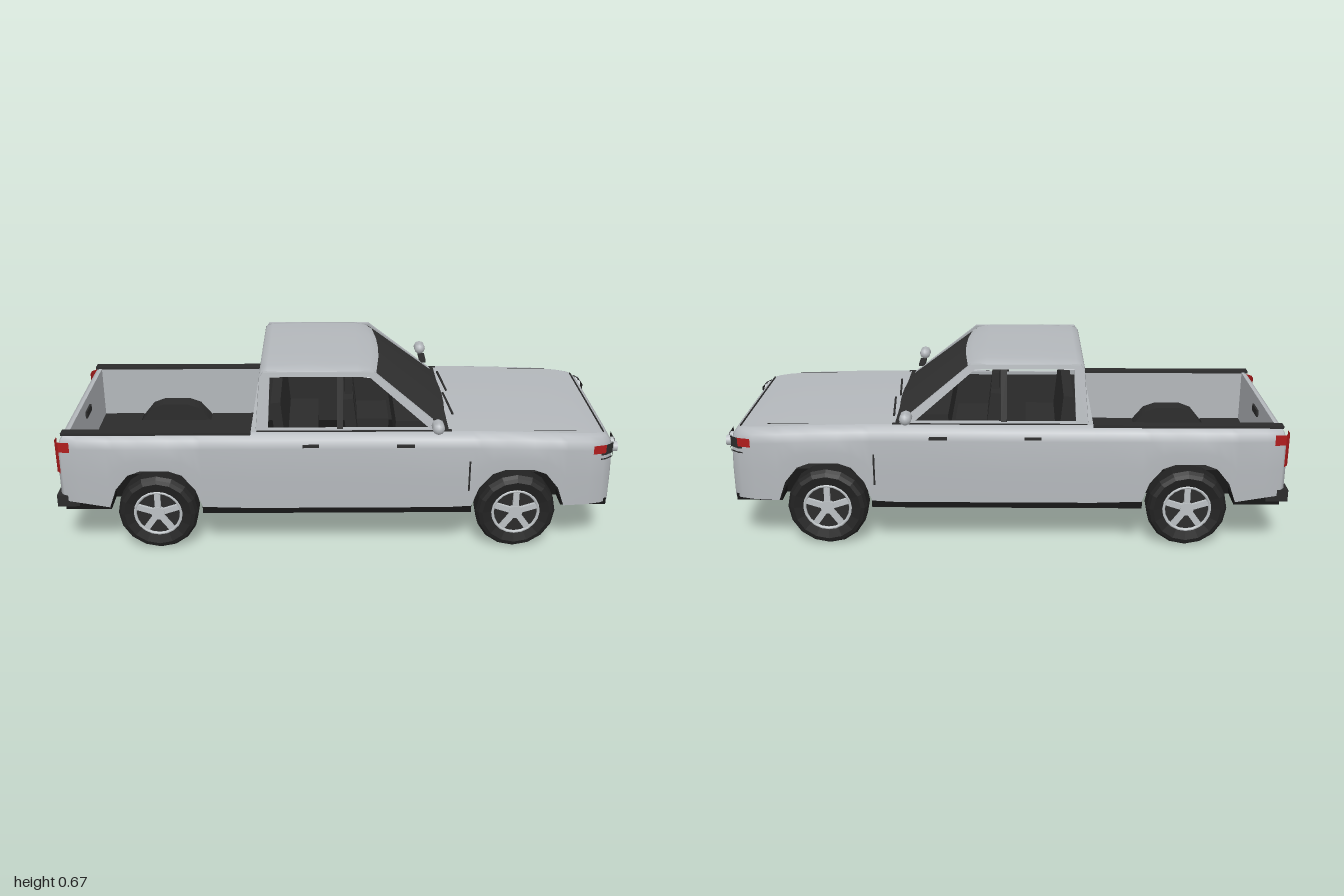
import * as THREE from 'three';

const mat = (name, color) => Object.assign(new THREE.MeshStandardMaterial({ color, side: THREE.DoubleSide }), { name });

export function createModel() {
  const truck = new THREE.Group();
  truck.name = 'pickupTruck';
  const silver = mat('silverPaint', 0xb3b7bb), trim = mat('darkTrim', 0x2b2b2b), glass = mat('darkGlass', 0x303030);
  const black = mat('blackUnderbody', 0x151515), red = mat('redLamp', 0xb01c1c), chrome = mat('paleMetal', 0xbcc1c4);
  const tyreMat = mat('tyreRubber', 0x222222);
  tyreMat.flatShading = true;

  const add = (name, geo, m, parent = truck) => {
    const mesh = new THREE.Mesh(geo, m);
    mesh.name = name;
    parent.add(mesh);
    return mesh;
  };
  // Box given by its minimum and maximum on each axis
  const box = (name, m, x0, x1, y0, y1, z0, z1, parent) => {
    const b = add(name, new THREE.BoxGeometry(x1 - x0, y1 - y0, z1 - z0), m, parent);
    b.position.set((x0 + x1) / 2, (y0 + y1) / 2, (z0 + z1) / 2);
    return b;
  };
  const pair = (name, m, x0, x1, y0, y1, z0, z1) => {
    box(name + 'Left', m, x0, x1, y0, y1, -z1, -z0);
    box(name + 'Right', m, x0, x1, y0, y1, z0, z1);
  };
  // Surface through nu cross-sections of nv points each
  const skin = (nu, nv, fn, closed = false) => {
    const pos = [], idx = [];
    for (let i = 0; i < nu; i++) for (let j = 0; j < nv; j++) pos.push(...fn(i, j));
    for (let i = 0; i < (closed ? nu : nu - 1); i++) for (let j = 0; j < nv - 1; j++) {
      const a = i * nv + j, b = ((i + 1) % nu) * nv + j;
      idx.push(a, b, a + 1, b, b + 1, a + 1);
    }
    const g = new THREE.BufferGeometry();
    g.setAttribute('position', new THREE.Float32BufferAttribute(pos, 3));
    g.setIndex(idx);
    g.computeVertexNormals();
    return g;
  };
  const shapeOf = pts => new THREE.Shape(pts.map(p => new THREE.Vector2(...p)));

  // Body outline in plan [x, z, bottom y], with the wheel openings cut into the lower edge
  const axles = [-0.635, 0.65];
  const arch = [[-0.165, 0.18], [-0.14, 0.25], [-0.095, 0.305], [-0.05, 0.322],
    [0.05, 0.322], [0.095, 0.305], [0.14, 0.25], [0.165, 0.18]];
  const archAt = cx => arch.map(([dx, y]) => [cx + dx, 0.36, y]);
  const half = [[-0.975, 0, 0.2], [-0.975, 0.25, 0.2], [-0.974, 0.33, 0.2], [-0.96, 0.345, 0.2], [-0.9, 0.355, 0.195],
    ...archAt(axles[0]), [-0.3, 0.36, 0.175], [0, 0.36, 0.175], [0.4, 0.36, 0.175], ...archAt(axles[1]),
    [0.9, 0.352, 0.18], [0.95, 0.338, 0.18], [0.978, 0.315, 0.175], [0.988, 0.29, 0.172], [0.99, 0.2, 0.172], [0.99, 0, 0.172]];
  const loop = [...half, ...half.slice(1, -1).reverse().map(([x, z, y]) => [x, -z, y])];
  const topY = x => 0.453 - (x > 0.4 ? 0.055 * (x - 0.4) ** 2 : 0);
  const inset = (i, d) => {
    const n = loop.length, p = loop[i], a = loop[(i + n - 1) % n], b = loop[(i + 1) % n];
    const tx = b[0] - a[0], tz = b[1] - a[1], l = Math.hypot(tx, tz);
    return [p[0] + (tz / l) * -d * -1 * 1, p[1] - (tx / l) * d];
  };
  const rows = [[0.05, 0.004], [0.02, 0.014], [0.006, 0.028], [0, 0.045]];
  add('bodyShell', skin(loop.length, 6, (i, j) => {
    const [x, z, low] = loop[i], t = topY(x);
    if (j < 2) return [x, low + (t - 0.05 - low) * j * 0.5, z];
    const [drop, d] = rows[j - 2], [ix, iz] = inset(i, d);
    return [ix, t - drop, iz];
  }, true), silver);

  // Hood, crowned across its width and joined to the shoulder
  const first = half.findIndex(p => p[0] === 0.4);
  add('hood', skin(half.length - first, 9, (i, j) => {
    const [x, z] = inset(first + i, 0.045), v = 1 - j / 4;
    return [x, topY(half[first + i][0]) + (half[first + i][0] < 0.92 ? 0.006 * (1 - v * v) : 0), z * v];
  }), silver);
  pair('hoodSeam', trim, 0.43, 0.85, 0.447, 0.4485, 0.299, 0.302);
  box('hoodFrontSeam', trim, 0.949, 0.953, 0.43, 0.4365, -0.28, 0.28);
  box('cowl', trim, 0.34, 0.41, 0.44, 0.452, -0.3, 0.3);
  for (const z of [-0.14, 0.08]) {
    const w = box('wiper', trim, 0.415, 0.422, 0.456, 0.462, z - 0.1, z + 0.1);
    w.rotation.y = 0.08;
  }

  // Underbody
  box('chassis', black, -0.95, 0.95, 0.16, 0.25, -0.24, 0.24);
  box('sill', black, -0.472, 0.487, 0.152, 0.187, -0.355, 0.355);
  box('frontUndertray', black, 0.812, 0.975, 0.165, 0.19, -0.325, 0.325);
  box('rearUndertray', black, -0.96, -0.798, 0.165, 0.21, -0.345, 0.345);
  box('chinSpoiler', black, 0.9, 0.965, 0.143, 0.168, -0.22, 0.22);

  // Wheel wells and wheels
  const tyreProfile = [[0.085, -0.04], [0.12, -0.048], [0.134, -0.043], [0.143, -0.03],
    [0.143, 0.03], [0.134, 0.043], [0.12, 0.048], [0.085, 0.04]].map(p => new THREE.Vector2(...p));
  for (const cx of axles) for (const s of [-1, 1]) {
    add('wheelWell', skin(arch.length, 2, (i, j) => [cx + arch[i][0], arch[i][1], s * (j ? 0.359 : 0.235)]), trim);
    add('wheelWellInner', new THREE.ShapeGeometry(shapeOf(arch)), trim).position.set(cx, 0, s * 0.235);
    const wheel = new THREE.Group();
    wheel.name = 'wheel';
    wheel.position.set(cx, 0.143, s * 0.298);
    if (s < 0) wheel.rotation.y = Math.PI;
    truck.add(wheel);
    add('tyre', new THREE.LatheGeometry(tyreProfile, 16), tyreMat, wheel).rotation.x = Math.PI / 2;
    const disc = (name, r, depth, z, m) => {
      const c = add(name, new THREE.CylinderGeometry(r, r, depth, 20), m, wheel);
      c.rotation.x = Math.PI / 2;
      c.position.z = z;
    };
    disc('rimBack', 0.09, 0.055, 0, trim);
    disc('hub', 0.024, 0.016, 0.036, chrome);
    add('rimRing', new THREE.TorusGeometry(0.083, 0.006, 6, 20), chrome, wheel).position.z = 0.038;
    for (let k = 0; k < 5; k++) {
      const a = Math.PI / 2 + k * Math.PI * 0.4;
      const spoke = add('spoke', new THREE.BoxGeometry(0.07, 0.021, 0.012), chrome, wheel);
      spoke.position.set(Math.cos(a) * 0.048, Math.sin(a) * 0.048, 0.035);
      spoke.rotation.z = a;
    }
  }

  // Cargo bed
  box('bedFloor', trim, -0.94, -0.29, 0.245, 0.255, -0.235, 0.235);
  pair('bedFloorRear', trim, -0.94, -0.775, 0.245, 0.255, 0.235, 0.304);
  pair('bedFloorFront', trim, -0.495, -0.29, 0.245, 0.255, 0.235, 0.304);
  const bedWall = shapeOf([[-0.94, 0.45], [-0.94, 0.25], ...arch.slice(1, -1).map(([x, y]) => [x + axles[0], y]),
    [-0.29, 0.25], [-0.29, 0.45]]);
  for (const s of [-1, 1]) add('bedSideWall', new THREE.ShapeGeometry(bedWall), silver).position.z = s * 0.304;
  box('bedFrontWall', silver, -0.295, -0.275, 0.2, 0.453, -0.315, 0.315);
  box('tailgateInner', silver, -0.942, -0.932, 0.25, 0.452, -0.304, 0.304);
  box('tailgateLatch', trim, -0.932, -0.925, 0.385, 0.41, -0.04, 0.04);
  pair('bedRail', trim, -0.955, -0.295, 0.449, 0.458, 0.3, 0.336);

  // Cab sides, leaning inward towards the roof
  const side = shapeOf([[-0.278, 0.445], [-0.262, 0.64], [-0.25, 0.657], [0.135, 0.657], [0.395, 0.445]]);
  side.holes.push(shapeOf([[-0.235, 0.457], [0.335, 0.457], [0.118, 0.642], [-0.226, 0.642]]));
  for (const s of [-1, 1]) {
    const g = new THREE.ExtrudeGeometry(side, { depth: 0.018, bevelEnabled: false });
    const p = g.attributes.position;
    for (let i = 0; i < p.count; i++) p.setZ(i, p.getZ(i) - 0.009 + s * (0.297 - (p.getY(i) - 0.455) * 0.17));
    g.computeVertexNormals();
    add('cabSide', g, silver);
    const post = box('doorPost', trim, 0.008, 0.028, 0.45, 0.655, s * 0.28 - 0.006, s * 0.28 + 0.006);
    post.rotation.x = -s * 0.17;
  }
  // Roof with rounded edges
  const roofX = [[-0.264, 0.645], [-0.256, 0.66], [-0.235, 0.668], [-0.1, 0.672], [0.08, 0.671], [0.13, 0.664], [0.155, 0.65]];
  const roofZ = [[0.274, -0.028], [0.262, -0.012], [0.22, -0.002], [0.1, 0], [0, 0]];
  const across = [...roofZ, ...roofZ.slice(0, -1).reverse().map(([z, y]) => [-z, y])];
  add('roof', skin(roofX.length, across.length, (i, j) => {
    const [z, dy] = across[j], bow = i > 4 ? 0.022 * (1 - (z / 0.27) ** 2) : 0;
    return [roofX[i][0] + bow - (i > 4 ? 0.015 : 0), Math.max(roofX[i][1] + dy, 0.638), z];
  }), silver);
  // Curved windscreen
  add('windscreen', skin(9, 4, (i, j) => {
    const u = i / 4 - 1, t = j / 3;
    return [0.415 - 0.253 * t - 0.03 * u * u, 0.452 + 0.197 * t, u * (0.288 - 0.032 * t)];
  }), glass);
  // Rear cab wall and window
  const back = shapeOf([[-0.3, 0.445], [0.3, 0.445], [0.266, 0.65], [-0.266, 0.65]]);
  back.holes.push(shapeOf([[-0.262, 0.47], [-0.238, 0.632], [0.238, 0.632], [0.262, 0.47]]));
  for (const [name, sh, m, x] of [['cabBack', back, silver, -0.279],
    ['rearWindow', shapeOf([[-0.264, 0.468], [0.264, 0.468], [0.24, 0.634], [-0.24, 0.634]]), glass, -0.278]]) {
    const g = new THREE.ShapeGeometry(sh).rotateY(-Math.PI / 2);
    const p = g.attributes.position;
    for (let i = 0; i < p.count; i++) p.setX(i, x + (p.getY(i) - 0.445) * 0.08);
    add(name, g, m);
  }

  // Cabin interior
  pair('doorLining', trim, -0.275, 0.41, 0.19, 0.4535, 0.3, 0.317);
  box('dashboard', trim, 0.215, 0.355, 0.39, 0.475, -0.275, 0.275);
  for (const z of [-0.14, 0.14]) {
    box('frontSeatBase', trim, 0.05, 0.21, 0.25, 0.34, z - 0.09, z + 0.09);
    box('frontSeatBack', trim, 0.04, 0.08, 0.3, 0.54, z - 0.09, z + 0.09).rotation.z = 0.12;
    box('headrest', trim, 0.035, 0.062, 0.54, 0.6, z - 0.045, z + 0.045);
  }
  box('rearSeatBase', trim, -0.2, -0.06, 0.25, 0.34, -0.25, 0.25);
  box('rearSeatBack', trim, -0.215, -0.18, 0.3, 0.535, -0.25, 0.25).rotation.z = 0.1;

  // Mirrors, door handles and panel gaps
  for (const s of [-1, 1]) {
    const m = add('mirror', new THREE.CapsuleGeometry(0.022, 0.026, 4, 8), silver);
    m.rotation.x = Math.PI / 2;
    m.position.set(0.352, 0.505, s * 0.395);
  }
  pair('mirrorArm', trim, 0.345, 0.37, 0.479, 0.487, 0.288, 0.378);
  pair('rearDoorHandle', trim, -0.113, -0.055, 0.411, 0.419, 0.35, 0.362);
  pair('frontDoorHandle', trim, 0.215, 0.278, 0.411, 0.419, 0.35, 0.362);
  pair('fenderGap', trim, 0.471, 0.477, 0.24, 0.355, 0.35, 0.3615);

  // Nose: grille, bumper and number plate
  box('grilleFrame', chrome, 0.975, 0.993, 0.242, 0.382, -0.213, 0.213);
  box('grille', trim, 0.98, 0.995, 0.248, 0.376, -0.205, 0.205);
  for (const y of [0.287, 0.333]) box('grilleBar', chrome, 0.985, 0.998, y - 0.003, y + 0.003, -0.205, 0.205);
  const round = (name, r, x, y, z) => {
    const c = add(name, new THREE.CylinderGeometry(r, r, 0.016, 12), chrome);
    c.rotation.z = Math.PI / 2;
    c.position.set(x, y, z);
  };
  round('grilleBoss', 0.016, 0.991, 0.312, 0);
  box('frontBumper', trim, 0.97, 0.997, 0.176, 0.235, -0.244, 0.244);
  box('frontPlate', chrome, 0.99, 1, 0.176, 0.233, -0.056, 0.056);

  // Wrap-around lamps
  const band = (name, pts, y0, y1, m, s) =>
    add(name, skin(pts.length, 2, (i, j) => [pts[i][0], j ? y1 : y0, s * pts[i][1]]), m);
  const lampLine = [[0.935, 0.346], [0.952, 0.341], [0.981, 0.318], [0.991, 0.292], [0.993, 0.225]];
  for (const s of [-1, 1]) {
    band('headlampHousing', lampLine, 0.37, 0.409, trim, s);
    band('headlampSeam', lampLine, 0.353, 0.358, trim, s);
    band('sideLamp', [[0.905, 0.355], [0.937, 0.347], [0.952, 0.3415]], 0.378, 0.41, red, s);
    for (const z of [0.272, 0.308]) round('headlamp', 0.018, 0.988, 0.389, s * z);
    band('tailLamp', [[-0.979, 0.3], [-0.979, 0.331], [-0.964, 0.349]], 0.31, 0.43, red, s);
    band('tailLampSide', [[-0.964, 0.349], [-0.925, 0.354]], 0.392, 0.43, red, s);
  }

  // Tail: bumper, plate and tow hitch
  box('rearBumper', trim, -0.988, -0.91, 0.178, 0.222, -0.347, 0.347);
  box('rearPlate', chrome, -0.982, -0.97, 0.245, 0.295, -0.055, 0.055);
  box('towBar', trim, -0.995, -0.9, 0.165, 0.185, -0.018, 0.018);
  const ball = add('towBall', new THREE.SphereGeometry(0.014, 10, 8), chrome);
  ball.position.set(-0.986, 0.198, 0);
  return truck;
}
